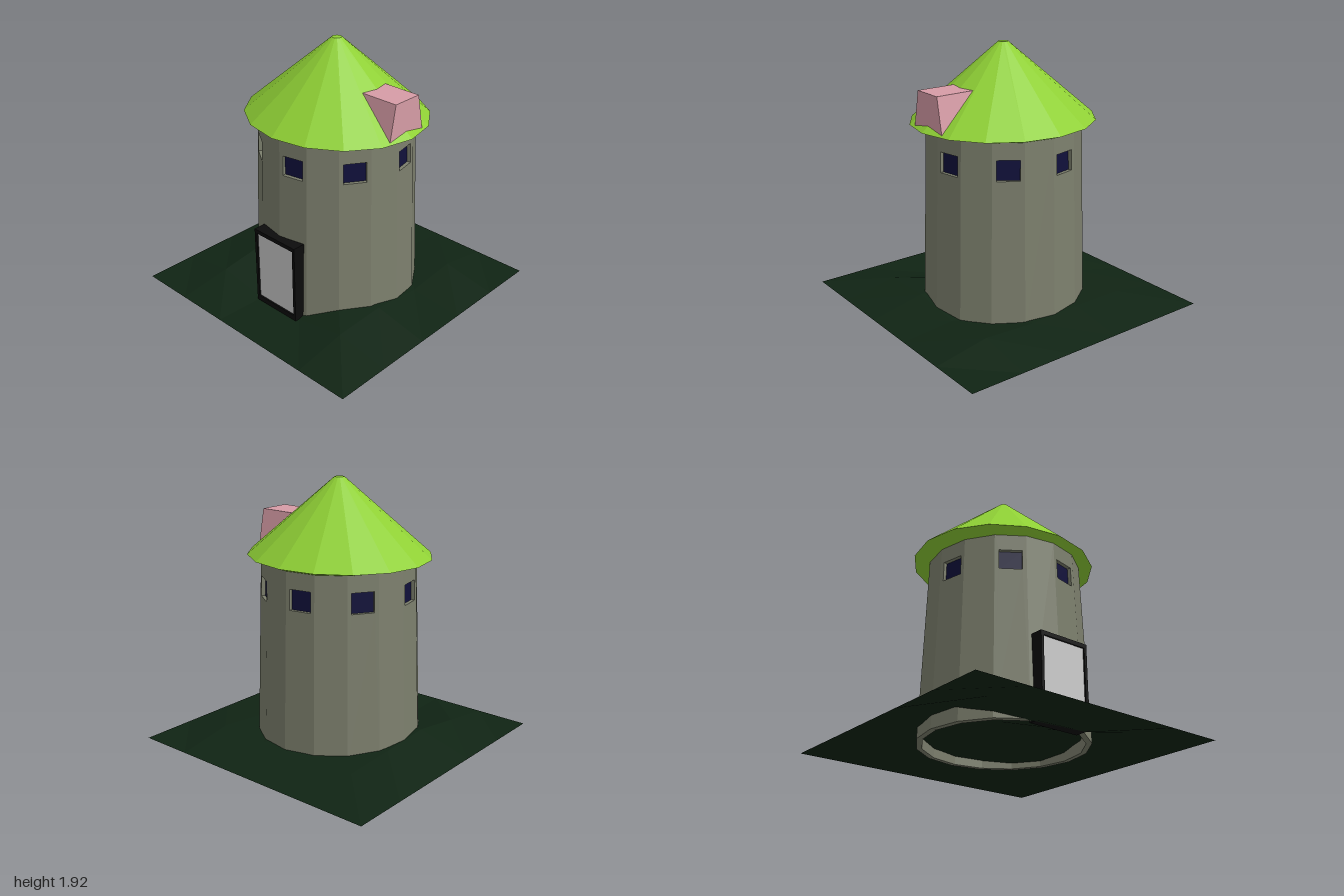
import * as THREE from 'three';

const mat = (color, extra = {}) => new THREE.MeshStandardMaterial({ color, flatShading: true, ...extra });
const stone = mat(0x7c7f6d);
const green = mat(0x8fd035, { side: THREE.DoubleSide });
const grass = mat(0x102414, { side: THREE.DoubleSide });
const pink = mat(0xd69ca6);
const glass = mat(0x10103a, { side: THREE.DoubleSide });
const black = mat(0x0c0c0c);
const grey = mat(0xcccccc);

const SIDES = 16;
const STEP = (Math.PI * 2) / SIDES;

function add(parent, name, geometry, material) {
  const mesh = new THREE.Mesh(geometry, material);
  mesh.name = name;
  parent.add(mesh);
  return mesh;
}

function polygon(points, Type = THREE.Shape) {
  return new Type(points.map(([x, y]) => new THREE.Vector2(x, y)));
}

// Bumpy ground sheet on a coarse grid; rows run from back to front
function addGround(parent) {
  const e = 0.015;
  const heights = [
    [e, e, e, e, e, e],
    [e, 0.08, 0.08, 0.07, 0.09, e],
    [e, 0.1, 0.1, 0.1, 0.05, e],
    [e, 0.125, 0.1, 0.13, 0.1, e],
    [e, 0.07, 0, 0.01, 0.085, e],
    [e, e, e, e, e, e],
  ];
  const geo = new THREE.PlaneGeometry(2, 2, 5, 5).rotateX(-Math.PI / 2).rotateY(Math.PI / 2);
  const p = geo.attributes.position;
  const cell = (v) => Math.round((v + 1) / 0.4);
  for (let i = 0; i < p.count; i++) p.setY(i, heights[cell(p.getZ(i))][cell(p.getX(i))]);
  geo.computeVertexNormals();
  add(parent, 'ground', geo, grass);
}

// Tapered tower of thick wall panels, every other one with a window
function addTower(parent) {
  const y0 = 0.02, y1 = 1.36, r0 = 0.6, r1 = 0.555, thick = 0.04;
  const a0 = r0 * Math.cos(STEP / 2), a1 = r1 * Math.cos(STEP / 2);
  const w0 = r0 * Math.sin(STEP / 2), w1 = r1 * Math.sin(STEP / 2);
  const tilt = Math.atan2(a0 - a1, y1 - y0);
  const h = Math.hypot(a0 - a1, y1 - y0);
  const winW = 0.08, winLow = 1.07, winHigh = 1.215;

  const panel = (withWindow) => {
    const shape = polygon([[-w0, 0], [w0, 0], [w1, h], [-w1, h]]);
    if (withWindow) {
      shape.holes.push(polygon(
        [[-winW, winLow], [-winW, winHigh], [winW, winHigh], [winW, winLow]], THREE.Path));
    }
    return new THREE.ExtrudeGeometry(shape, { depth: thick, bevelEnabled: false }).translate(0, 0, -thick);
  };
  const plain = panel(false), pierced = panel(true);
  const pane = new THREE.PlaneGeometry(winW * 2 + 0.01, winHigh - winLow + 0.01)
    .translate(0, (winLow + winHigh) / 2, -0.027);

  const tower = new THREE.Group();
  tower.name = 'tower';
  parent.add(tower);
  for (let i = 0; i < SIDES; i++) {
    const side = new THREE.Group();
    side.name = 'towerSide';
    side.rotation.y = (i + 0.5) * STEP;
    const face = new THREE.Group();
    face.position.set(0, y0, a0);
    face.rotation.x = -tilt;
    const hasWindow = i % 2 === 0;
    add(face, 'wall', hasWindow ? pierced : plain, stone);
    if (hasWindow) add(face, 'windowPane', pane, glass);
    side.add(face);
    tower.add(side);
  }
}

// Slightly oval faceted roof with a sloping underside and flat tip
function addRoof(parent) {
  const profile = [[0.53, 1.345], [0.68, 1.38], [0.035, 1.925], [0, 1.925]]
    .map(([r, y]) => new THREE.Vector2(r, y));
  const geo = new THREE.LatheGeometry(profile, SIDES);
  const p = geo.attributes.position;
  for (let i = 0; i < p.count; i++) {
    if (Math.abs(p.getY(i) - 1.38) < 0.001) p.setZ(i, p.getZ(i) * 0.92);
  }
  add(parent, 'roof', geo, green);
}

// Dormer with a trapezoid section, running into the roof on the left side
function addDormer(parent) {
  const shape = polygon([[-0.165, 1.39], [0.165, 1.39], [0.115, 1.645], [-0.115, 1.645]]);
  const geo = new THREE.ExtrudeGeometry(shape, { depth: 0.4, bevelEnabled: false })
    .translate(0, 0, 0.23).rotateY(Math.PI / 2);
  add(parent, 'dormer', geo, pink);
}

// Door panel set in a dark frame
function addDoor(parent) {
  const frame = polygon([[-0.2, 0.01], [0.2, 0.01], [0.2, 0.61], [-0.2, 0.61]]);
  frame.holes.push(polygon([[-0.178, 0.05], [-0.178, 0.58], [0.178, 0.58], [0.178, 0.05]], THREE.Path));
  add(parent, 'doorFrame',
    new THREE.ExtrudeGeometry(frame, { depth: 0.125, bevelEnabled: false }).translate(0, 0, 0.51), black);
  add(parent, 'door', new THREE.BoxGeometry(0.36, 0.535, 0.1).translate(0, 0.315, 0.573), grey);
}

export function createModel() {
  const model = new THREE.Group();
  model.name = 'roundTower';
  addGround(model);
  addTower(model);
  addRoof(model);
  addDormer(model);
  addDoor(model);
  return model;
}
